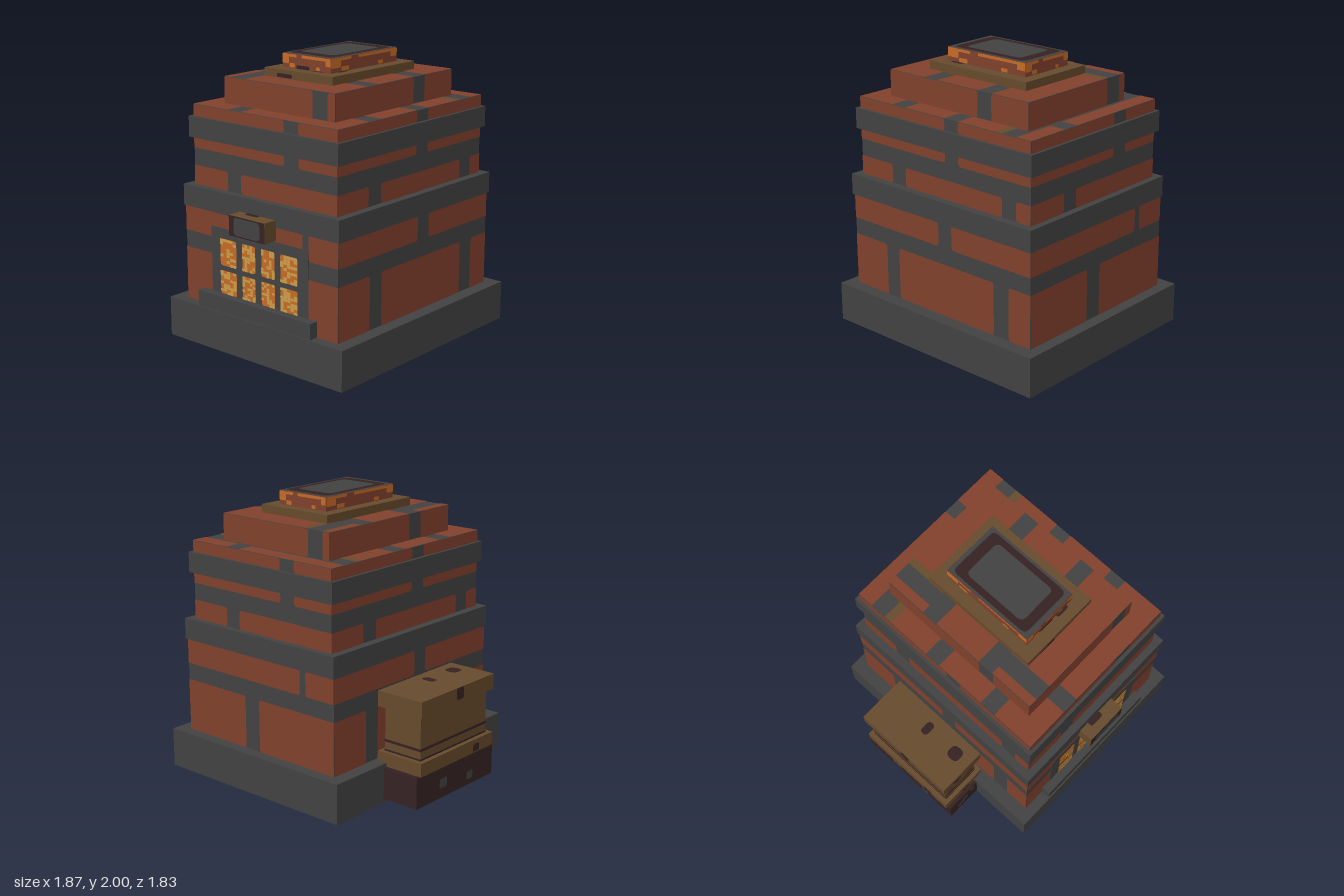
import * as THREE from 'three';
import { mergeGeometries } from 'three/addons/utils/BufferGeometryUtils.js';

const mat = (name, color) => new THREE.MeshStandardMaterial({ name, color });

export function createModel() {
  const M = {
    brick: mat('brick red', 0x80402c),
    stone: mat('stone grey', 0x414141),
    wood: mat('brown trim', 0x664a2c),
    soot: mat('dark soot', 0x352223),
    flame: mat('ember orange', 0xc56a26),
    glow: mat('glow yellow', 0xc99c48),
  };
  const model = new THREE.Group();
  model.name = 'brickFurnace';

  const add = (name, geo, material) => {
    const mesh = new THREE.Mesh(geo, material);
    mesh.name = name;
    model.add(mesh);
    return mesh;
  };

  // Box from its limits on each axis
  const box = (name, material, [x0, x1], [y0, y1], [z0, z1]) =>
    add(name, new THREE.BoxGeometry(x1 - x0, y1 - y0, z1 - z0)
      .translate((x0 + x1) / 2, (y0 + y1) / 2, (z0 + z1) / 2), material);

  // Flat plate with rounded corners; left or right ends can stay square
  const plate = (a0, a1, b0, b1, r = 0, roundL = true, roundR = true) => {
    const s = new THREE.Shape();
    const l = roundL ? r : 0, q = roundR ? r : 0;
    s.moveTo(a0 + l, b0).lineTo(a1 - q, b0).quadraticCurveTo(a1, b0, a1, b0 + q);
    s.lineTo(a1, b1 - q).quadraticCurveTo(a1, b1, a1 - q, b1);
    s.lineTo(a0 + l, b1).quadraticCurveTo(a0, b1, a0, b1 - l);
    s.lineTo(a0, b0 + l).quadraticCurveTo(a0, b0, a0 + l, b0);
    return new THREE.ShapeGeometry(s, 3);
  };
  const onFront = (z, a0, a1, b0, b1, r) => plate(a0, a1, b0, b1, r).translate(0, 0, z);
  const onTop = (y, x0, x1, z0, z1, r) => plate(x0, x1, -z1, -z0, r).rotateX(-Math.PI / 2).translate(0, y, 0);
  const onLeftWall = (x, z0, z1, y0, y1, r) => plate(z0, z1, y0, y1, r).rotateY(-Math.PI / 2).translate(x, 0, 0);

  // Mortar block faced with courses of brick; opposite walls share a pattern.
  // A course is [y0, y1, gaps], each gap measured from the wall's middle.
  const masonry = (name, X, Y, Z, frontCourses, sideCourses) => {
    box(name + 'Mortar', M.stone, X, Y, Z);
    const w = X[1] - X[0], d = Z[1] - Z[0], geos = [];
    for (let k = 0; k < 4; k++) {
      const width = k % 2 ? d : w, depth = k % 2 ? w : d;
      for (const [y0, y1, gaps] of k % 2 ? sideCourses : frontCourses) {
        const cuts = [-width / 2, ...gaps.flat(), width / 2];
        for (let i = 0; i < cuts.length; i += 2) {
          geos.push(plate(cuts[i], cuts[i + 1], y0, y1, 0.02, i > 0, i + 2 < cuts.length)
            .translate(0, 0, depth / 2 + 0.003).rotateY(k * Math.PI / 2));
        }
      }
    }
    add(name + 'Bricks', mergeGeometries(geos)
      .translate((X[0] + X[1]) / 2, 0, (Z[0] + Z[1]) / 2), M.brick);
  };

  // Plinth and stone bands
  box('plinth', M.stone, [-0.64, 0.93], [0, 0.28], [-0.915, 0.88]);
  box('lowerBand', M.stone, [-0.55, 0.845], [0.95, 1.1], [-0.84, 0.81]);
  box('upperBand', M.stone, [-0.515, 0.81], [1.43, 1.575], [-0.815, 0.78]);

  // Stepped brick storeys
  masonry('lowerWall', [-0.54, 0.83], [0.28, 0.95], [-0.83, 0.8],
    [[0.28, 0.655, [[-0.12, 0.01]]], [0.775, 0.95, [[0.39, 0.44]]]],
    [[0.28, 0.655, [[-0.5, -0.38], [0.5, 0.63]]], [0.775, 0.95, [[0.005, 0.125]]]]);
  const midX = [-0.49, 0.785], midZ = [-0.79, 0.755];
  masonry('middleWall', midX, [1.1, 1.43], midZ,
    [[1.1, 1.235, [[-0.318, -0.198]]], [1.355, 1.43, [[0.19, 0.313]]]],
    [[1.1, 1.235, [[-0.468, -0.343], [0.533, 0.653]]], [1.355, 1.43, [[0.033, 0.153]]]]);
  masonry('ledge', midX, [1.575, 1.655], midZ,
    [[1.575, 1.655, [[0.19, 0.313]]]], [[1.575, 1.655, [[0.033, 0.153]]]]);
  masonry('roofSlab', [-0.34, 0.635], [1.655, 1.84], [-0.64, 0.605],
    [[1.655, 1.84, [[0.303, 0.428]]]], [[1.655, 1.84, [[0.188, 0.308]]]]);

  // Bricks on the upward faces of the ledge and the slab
  const ledgeTop = [[-0.49, 0.34, -0.79, -0.67], [0.46, 0.785, -0.79, -0.67],
    [-0.49, -0.17, 0.605, 0.755], [-0.05, 0.785, 0.605, 0.755]];
  for (const [x0, x1] of [[-0.49, -0.34], [0.635, 0.785]]) {
    for (const [z0, z1] of [[-0.49, -0.17], [-0.05, 0.32], [0.44, 0.605]]) ledgeTop.push([x0, x1, z0, z1]);
  }
  add('ledgeTopBricks', mergeGeometries(ledgeTop.map(p => onTop(1.658, ...p))), M.brick);
  const slabTop = [[-0.34, -0.275, -0.64, -0.33], [-0.34, -0.275, 0.28, 0.605],
    [-0.34, 0.635, -0.21, 0.165], [-0.155, 0.635, -0.64, -0.33], [-0.155, 0.635, 0.28, 0.605]];
  add('slabTopBricks', mergeGeometries(slabTop.map(p => onTop(1.843, ...p))), M.brick);
  add('ledgeStains', mergeGeometries([
    onTop(1.658, -0.49, -0.34, -0.55, -0.49), onTop(1.658, 0.635, 0.785, -0.55, -0.49),
    onTop(1.846, -0.155, -0.105, -0.64, -0.45)]), M.wood);

  // Chimney collar and glowing chimney
  box('chimneyCollar', M.wood, [-0.15, 0.45], [1.84, 1.9], [-0.455, 0.415]);
  box('chimney', M.brick, [-0.065, 0.36], [1.9, 1.996], [-0.37, 0.325]);
  add('chimneyRim', onTop(1.997, -0.065, 0.36, -0.37, 0.325), M.stone);
  add('chimneySoot', onTop(1.9985, -0.045, 0.34, -0.34, 0.29, 0.04), M.soot);
  add('chimneyMouth', onTop(2, 0, 0.295, -0.265, 0.22, 0.04), M.stone);
  const embers = [];
  for (let k = 0; k < 4; k++) {
    const w = k % 2 ? 0.695 : 0.425, d = k % 2 ? 0.425 : 0.695;
    for (const [a0, a1, b0, b1] of [[-0.5, -0.36, 1.93, 1.995], [-0.36, -0.2, 1.975, 1.995],
      [-0.1, 0.4, 1.975, 1.995], [0.4, 0.5, 1.94, 1.995], [-0.35, -0.24, 1.905, 1.935], [0.2, 0.28, 1.905, 1.93]]) {
      embers.push(plate(a0 * w, a1 * w, b0, b1, 0.008)
        .translate(0, 0, d / 2 + 0.003).rotateY(k * Math.PI / 2));
    }
  }
  add('chimneyEmbers', mergeGeometries(embers).translate(0.1475, 0, -0.0225), M.flame);

  // Furnace door with eight glowing panes
  box('doorFrame', M.stone, [-0.29, 0.585], [0.28, 0.85], [0.79, 0.806]);
  box('doorStep', M.stone, [-0.365, 0.655], [0.28, 0.39], [0.79, 0.87]);
  let seed = 7;
  const rnd = () => (seed = (seed * 16807) % 2147483647) / 2147483647;
  const panes = [], sparks = [];
  for (const [x0, x1] of [[-0.205, -0.055], [0, 0.12], [0.175, 0.295], [0.345, 0.495]]) {
    for (const [y0, y1] of [[0.39, 0.555], [0.59, 0.78]]) {
      panes.push(onFront(0.809, x0, x1, y0, y1, 0.015));
      const nx = 5, ny = 9, dx = (x1 - x0) / nx, dy = (y1 - y0) / ny;
      for (let i = 0; i < nx; i++) for (let j = 0; j < ny; j++) {
        if (rnd() < 0.55) continue;
        const a = x0 + i * dx, b = y0 + j * dy;
        sparks.push(onFront(0.812, a, a + dx, b, b + dy, 0.006));
      }
    }
  }
  add('doorPanes', mergeGeometries(panes), M.flame);
  add('doorSparks', mergeGeometries(sparks), M.glow);

  // Lamp above the door
  box('lamp', M.wood, [-0.015, 0.305], [0.86, 1], [0.79, 0.912]);
  add('lampFace', onFront(0.914, -0.015, 0.305, 0.86, 1), M.soot);
  add('lampLens', onFront(0.917, 0.03, 0.265, 0.87, 0.992, 0.03), M.stone);
  add('lampStain', onTop(1.003, 0.06, 0.175, 0.805, 0.85, 0.015), M.soot);

  // Side bellows: dark foot, two slabs and a narrower neck
  box('bellowsFoot', M.soot, [-0.92, -0.62], [0.03, 0.255], [-0.445, 0.4]);
  for (const [name, y0, y1] of [['bellowsLowerSlab', 0.255, 0.35], ['bellowsUpperSlab', 0.665, 0.775]]) {
    box(name, M.wood, [-0.935, -0.565], [y0, y1], [-0.42, 0.375]);
  }
  box('bellowsNeck', M.wood, [-0.9, -0.6], [0.35, 0.665], [-0.385, 0.34]);
  for (const [y0, y1] of [[0.35, 0.362], [0.415, 0.433]]) {
    box('bellowsFold', M.soot, [-0.903, -0.597], [y0, y1], [-0.388, 0.343]);
  }
  box('hotPipe', M.brick, [-0.61, -0.535], [0.45, 0.62], [-0.13, 0.085]);
  add('hotPipeGlow', mergeGeometries([
    onFront(0.088, -0.6, -0.565, 0.535, 0.57), onTop(0.623, -0.575, -0.54, -0.1, 0.06)]), M.flame);

  // Worn patches on the bellows
  add('sootPatches', mergeGeometries([
    onFront(0.378, -0.845, -0.765, 0.705, 0.735, 0.014), onFront(0.378, -0.765, -0.695, 0.28, 0.31, 0.014),
    ...[0.49, 0.55, 0.6].flatMap(y => [-0.87, -0.78, -0.68].map(x => onFront(0.343, x, x + 0.05, y, y + 0.008))),
    onTop(0.778, -0.735, -0.635, -0.055, 0.005, 0.025), onTop(0.778, -0.735, -0.635, 0.195, 0.295, 0.04),
    onLeftWall(-0.938, -0.05, 0.03, 0.69, 0.775, 0.02), onLeftWall(-0.938, 0.15, 0.22, 0.265, 0.32, 0.02),
    onFront(0.418, -0.035, 0.1, 1.848, 1.875, 0.01), onFront(0.328, 0.06, 0.175, 1.9, 1.925, 0.01),
    onTop(1.903, 0.34, 0.39, 0.175, 0.28, 0.02), onTop(1.903, 0.21, 0.31, 0.31, 0.345, 0.015)]), M.soot);
  add('footStonePatches', mergeGeometries([
    onFront(0.403, -0.845, -0.775, 0.1, 0.165, 0.02), onFront(0.404, -0.8, -0.74, 0.14, 0.215, 0.02),
    onLeftWall(-0.923, -0.2, -0.12, 0.1, 0.17, 0.02), onLeftWall(-0.923, 0.1, 0.17, 0.07, 0.13, 0.02)]), M.stone);
  add('footBrownPatches', mergeGeometries([
    onFront(0.403, -0.715, -0.67, 0.205, 0.25, 0.01), onFront(0.403, -0.85, -0.805, 0.03, 0.06, 0.01)]), M.wood);

  return model;
}
